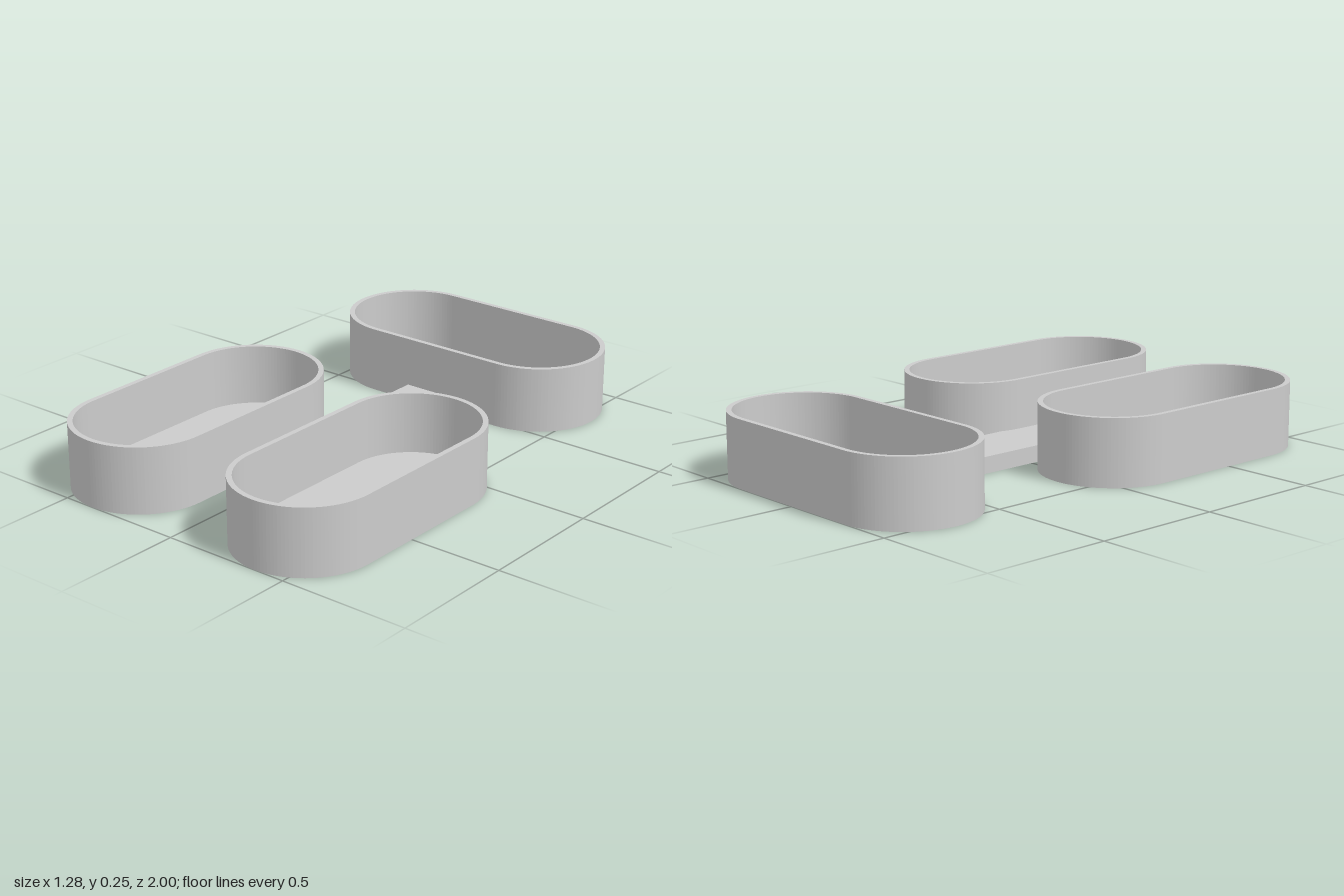
import * as THREE from 'three';

const material = new THREE.MeshStandardMaterial({ color: 0xcccccc });
const LENGTH = 1.112, RADIUS = 0.265, HEIGHT = 0.253, WALL = 0.02, FLOOR = 0.02;

// Stadium outline, long axis along x
function stadium(radius, Type = THREE.Shape) {
  const half = LENGTH / 2 - RADIUS;
  const outline = new Type();
  outline.absarc(half, 0, radius, -Math.PI / 2, Math.PI / 2, false);
  outline.absarc(-half, 0, radius, Math.PI / 2, Math.PI * 1.5, false);
  outline.closePath();
  return outline;
}

// Horizontal slab of a shape between two heights
function slab(name, shape, y0, y1) {
  const geometry = new THREE.ExtrudeGeometry(shape, { depth: y1 - y0, bevelEnabled: false, curveSegments: 32 });
  geometry.rotateX(-Math.PI / 2).translate(0, y0, 0);
  const mesh = new THREE.Mesh(geometry, material);
  mesh.name = name;
  return mesh;
}

// Open tray: floor inside a thin upright wall
function tray(name, x, z, turn) {
  const group = new THREE.Group();
  group.name = name;
  const rim = stadium(RADIUS);
  rim.holes.push(stadium(RADIUS - WALL, THREE.Path));
  group.add(slab('trayWall', rim, 0, HEIGHT));
  group.add(slab('trayFloor', stadium(RADIUS - WALL), 0, FLOOR));
  group.position.set(x, 0, z);
  group.rotation.y = turn;
  return group;
}

export function createModel() {
  const model = new THREE.Group();
  model.name = 'trayOrganizer';

  // Two lengthwise trays in front, one crosswise tray behind
  model.add(tray('leftTray', 0.377, 1 - LENGTH / 2, Math.PI / 2));
  model.add(tray('rightTray', -0.377, 1 - LENGTH / 2, Math.PI / 2));
  model.add(tray('backTray', 0, -1 + RADIUS, 0));

  // Low bar joining the trays
  const z0 = -0.475, z1 = 0.4, height = 0.063;
  const bar = new THREE.Mesh(new THREE.BoxGeometry(0.248, height, z1 - z0), material);
  bar.name = 'connectingBar';
  bar.position.set(0, height / 2, (z0 + z1) / 2);
  model.add(bar);

  return model;
}
